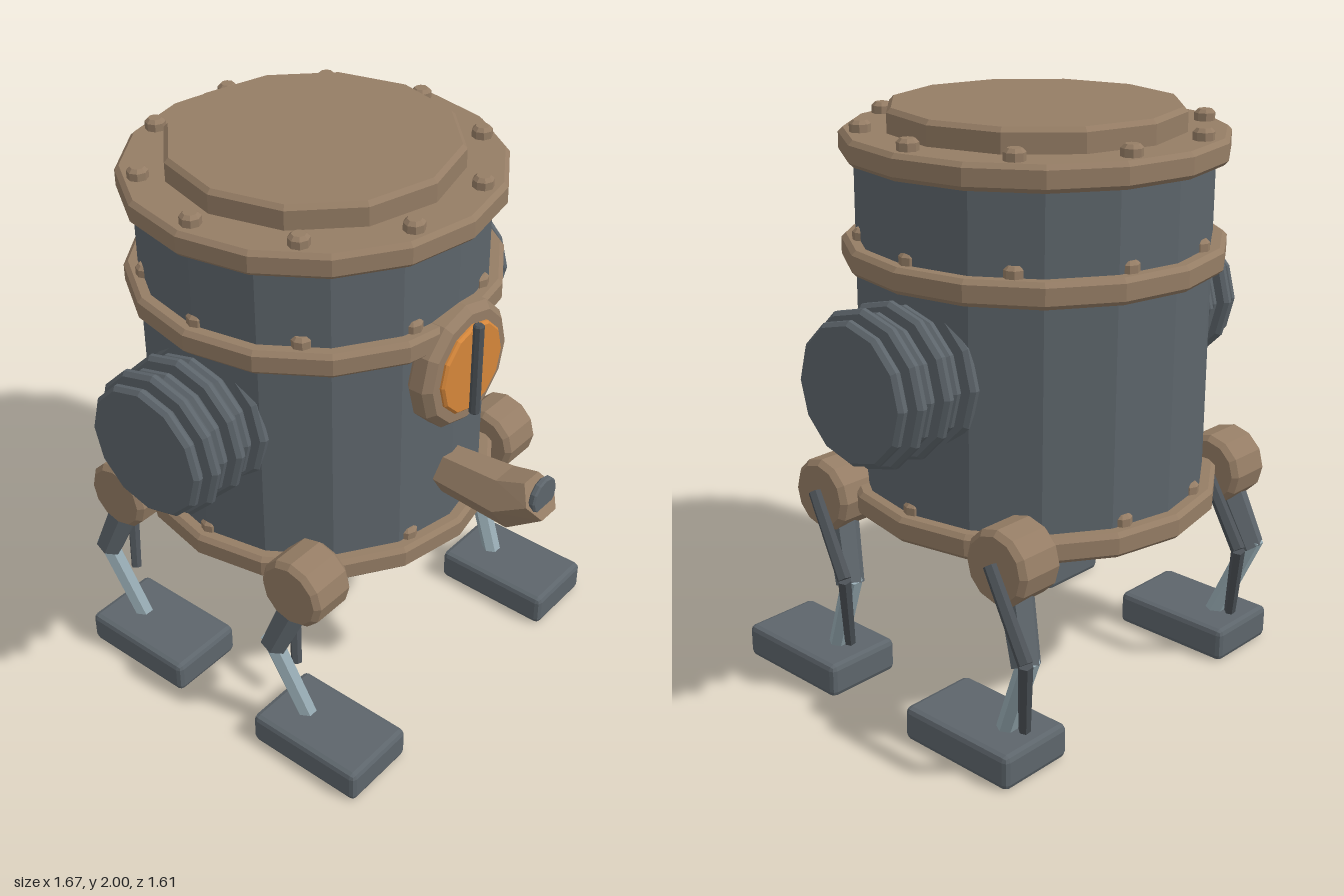
import * as THREE from 'three';
import { RoundedBoxGeometry } from 'three/addons/geometries/RoundedBoxGeometry.js';

const paint = (name, color, side = THREE.FrontSide) => {
  const m = new THREE.MeshStandardMaterial({ color, flatShading: true, side });
  m.name = name;
  return m;
};

export function createModel() {
  const bronze = paint('bronze', 0x957d65);
  const steel = paint('steel', 0x5d656b);
  const darkSteel = paint('darkSteel', 0x4c5257);
  const paleSteel = paint('paleSteel', 0x97abb3);
  const amber = paint('amber', 0xd5863a);

  const model = new THREE.Group();
  model.name = 'walkingBoiler';
  const V = (x, y, z) => new THREE.Vector3(x, y, z);

  const add = (parent, name, geometry, material, x = 0, y = 0, z = 0) => {
    const mesh = new THREE.Mesh(geometry, material);
    mesh.name = name;
    mesh.position.set(x, y, z);
    parent.add(mesh);
    return mesh;
  };
  const group = (parent, name, x = 0, y = 0, z = 0) => {
    const g = new THREE.Group();
    g.name = name;
    g.position.set(x, y, z);
    parent.add(g);
    return g;
  };

  // Closed drum with bevelled rims, centred on its own axis
  const drum = (r, h, bevel, sides) => new THREE.LatheGeometry([
    [0, -h / 2], [r - bevel, -h / 2], [r, -h / 2 + bevel],
    [r, h / 2 - bevel], [r - bevel, h / 2], [0, h / 2],
  ].map(([a, b]) => new THREE.Vector2(a, b)), sides);

  // Tapered rod between two points
  const rod = (parent, name, a, b, ra, rb, sides, material) => {
    const dir = b.clone().sub(a);
    const mesh = add(parent, name, new THREE.CylinderGeometry(rb, ra, dir.length(), sides), material);
    mesh.position.copy(a).add(b).multiplyScalar(0.5);
    mesh.quaternion.setFromUnitVectors(V(0, 1, 0), dir.normalize());
    return mesh;
  };

  // Boiler body, bands and lid
  const body = group(model, 'body', 0, 0, -0.17);
  add(body, 'tank', drum(0.588, 1.24, 0.015, 16), steel, 0, 1.26, 0);
  const rivet = drum(0.035, 0.06, 0.012, 8);
  for (const [name, y] of [['lowerBand', 0.705], ['middleBand', 1.53], ['upperBand', 1.878]]) {
    const band = group(body, name, 0, y, 0);
    add(band, 'hoop', drum(0.635, 0.085, 0.015, 16), bronze);
    for (let i = 0; i < 10; i++) {
      const a = (i * Math.PI) / 5;
      add(band, 'rivet', rivet, bronze, 0.565 * Math.cos(a), 0.05, 0.565 * Math.sin(a));
    }
  }
  add(body, 'lid', drum(0.49, 0.12, 0.015, 12), bronze, 0, 1.94, 0);

  // Porthole eye with a vertical bar
  const eye = group(model, 'eye', 0, 1.383, 0.42);
  add(eye, 'eyeHousing', drum(0.22, 0.1, 0.025, 12), bronze).rotation.x = Math.PI / 2;
  add(eye, 'eyeLens', drum(0.16, 0.05, 0.008, 12), amber, 0, 0, 0.04).rotation.x = Math.PI / 2;
  add(eye, 'eyeBar', drum(0.019, 0.34, 0.006, 8), darkSteel, 0, 0, 0.077);

  // Hexagonal spout lofted through three tilted sections: z, y, tilt, radius
  const sections = [[0.38, 0.942, 0, 0.082], [0.655, 0.945, 0.286, 0.103], [0.77, 1.005, 0.584, 0.08]];
  const points = [];
  const faces = [];
  for (const [z, y, tilt, r] of sections) {
    for (let i = 0; i < 6; i++) {
      const a = (i * Math.PI) / 3;
      const up = r * Math.sin(a);
      points.push(r * Math.cos(a), y + up * Math.cos(tilt), z - up * Math.sin(tilt));
    }
  }
  for (let s = 0; s < 2; s++) {
    for (let i = 0; i < 6; i++) {
      const a = s * 6 + i, b = s * 6 + ((i + 1) % 6);
      faces.push(a, b, b + 6, a, b + 6, a + 6);
    }
  }
  for (let i = 1; i < 5; i++) faces.push(12, 12 + i, 13 + i);
  const spout = new THREE.BufferGeometry();
  spout.setAttribute('position', new THREE.Float32BufferAttribute(points, 3));
  spout.setIndex(faces);
  spout.computeVertexNormals();
  add(model, 'spout', spout, bronze);
  add(model, 'spoutPlug', drum(0.066, 0.025, 0.006, 12), steel, 0, 1.015, 0.777).rotation.x = Math.PI / 2;

  // Side bellows: a row of separate rounded discs of alternating size
  const discs = [0.257, 0.232].map((r) => drum(r, 0.04, 0.013, 12));
  for (const side of [-1, 1]) {
    const bellows = group(model, side > 0 ? 'leftBellows' : 'rightBellows', 0, 1.217, -0.175);
    for (let i = 0; i < 6; i++) {
      add(bellows, 'bellowsDisc', discs[i % 2], steel, side * (0.54 + 0.055 * i), 0, 0).rotation.z = Math.PI / 2;
    }
  }

  // Four legs; limbs mirror, while the strut sits on the same side of each leg
  for (const side of [-1, 1]) {
    for (const [end, z] of [['front', 0.23], ['back', -0.58]]) {
      const leg = group(model, end + (side > 0 ? 'Left' : 'Right') + 'Leg', side * 0.54, 0, z);
      add(leg, 'hip', drum(0.127, 0.178, 0.018, 12), bronze, 0, 0.703, 0).rotation.z = Math.PI / 2;
      const knee = V(side * 0.053, 0.4, -0.105);
      rod(leg, 'thigh', V(0, 0.68, 0), knee, 0.062, 0.05, 6, steel);
      rod(leg, 'shin', V(side * 0.055, 0.43, -0.12), V(side * 0.018, 0.1, 0.015), 0.036, 0.034, 6, paleSteel);
      add(leg, 'foot', new RoundedBoxGeometry(0.288, 0.12, 0.456, 1, 0.02), steel, side * 0.017, 0.063, 0.105);
      const bend = V(0.16, 0.485, -0.2);
      rod(leg, 'upperStrut', V(0.115, 0.73, -0.01), bend, 0.022, 0.025, 6, darkSteel);
      rod(leg, 'lowerStrut', bend, V(0.08, 0.195, -0.125), 0.024, 0.02, 6, darkSteel);
    }
  }

  return model;
}
